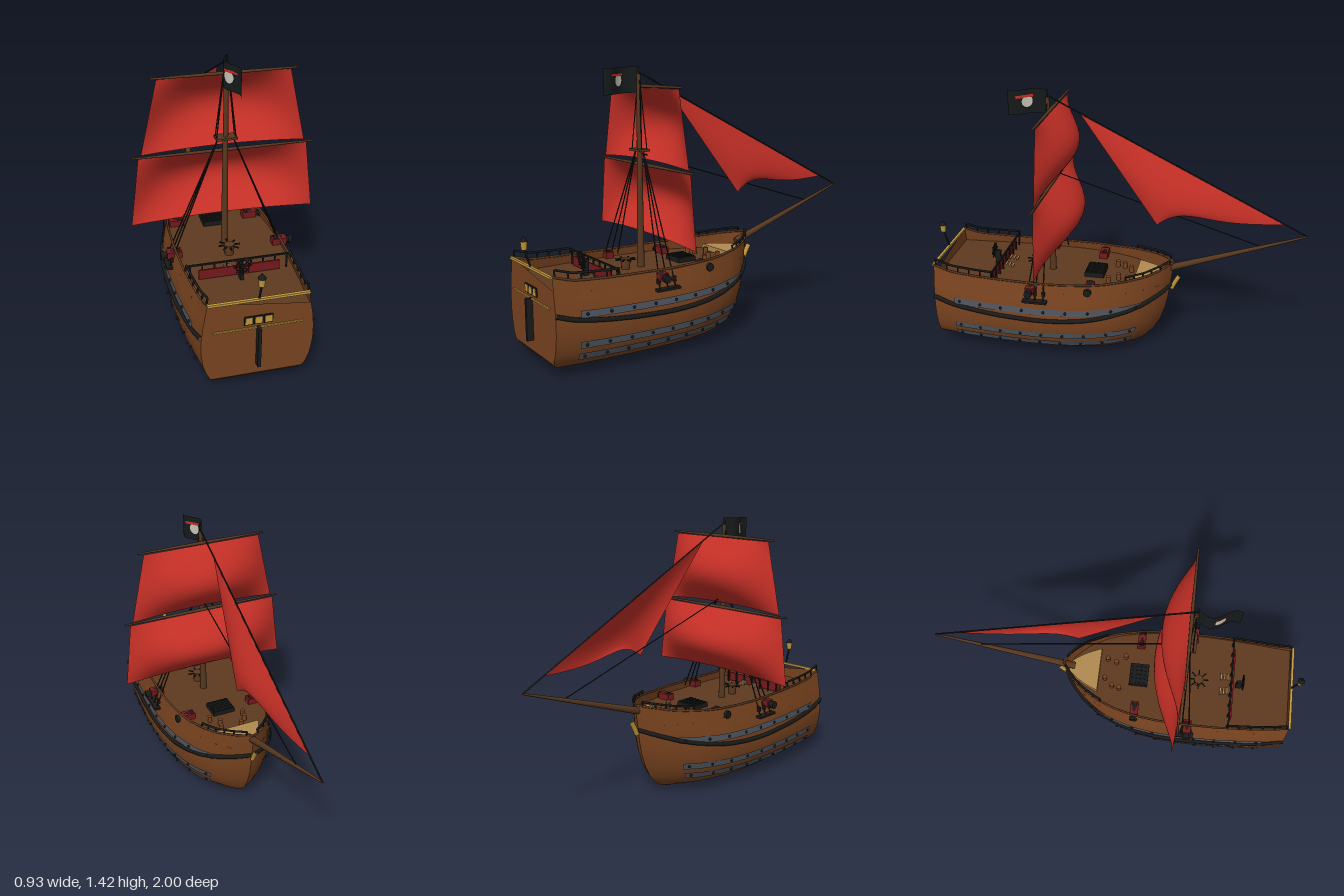
import * as THREE from 'three';

const mat = (name, color, double = false) => {
  const m = new THREE.MeshStandardMaterial({ color });
  m.name = name;
  if (double) m.side = THREE.DoubleSide;
  return m;
};
const V = (x, y, z) => new THREE.Vector3(x, y, z);

// Piecewise linear lookup
function lookup(table, t) {
  for (let i = 1; i < table.length; i++) {
    const [a, p] = table[i - 1], [b, q] = table[i];
    if (t <= b) return p + (q - p) * Math.max(0, (t - a) / (b - a));
  }
  return table[table.length - 1][1];
}

// Surface from a rule fn(u, v) -> Vector3
function grid(fn, nu, nv) {
  const pos = [], idx = [];
  for (let i = 0; i <= nu; i++)
    for (let j = 0; j <= nv; j++) pos.push(...fn(i / nu, j / nv).toArray());
  for (let i = 0; i < nu; i++)
    for (let j = 0; j < nv; j++) {
      const a = i * (nv + 1) + j, b = a + nv + 1;
      idx.push(a, b, a + 1, b, b + 1, a + 1);
    }
  const g = new THREE.BufferGeometry();
  g.setAttribute('position', new THREE.Float32BufferAttribute(pos, 3));
  g.setIndex(idx);
  g.computeVertexNormals();
  return g;
}

// Hull lines: s runs stern (0) to bow (1), f runs keel (0) to sheer (1)
const BEAM = [[0, .265], [.15, .285], [.3, .298], [.45, .302], [.58, .295], [.67, .28], [.76, .25],
  [.83, .215], [.9, .16], [.95, .1], [.98, .05], [1, 0]];
const SHEER = [[0, .49], [.08, .462], [.2, .455], [.5, .45], [.72, .458], [.88, .48], [1, .51]];
const SECTION = [[0, 0], [.03, .4], [.08, .68], [.17, .87], [.3, .96], [.45, 1], [.6, 1], [.75, .97], [.87, .93], [1, .89]];
const STEM = [[0, -.1], [.03, -.14], [.08, -.18], [.17, -.22], [.3, -.255], [.45, -.28], [.6, -.295], [.87, -.313], [1, -.32]];
const STERN = [[0, .84], [.04, .88], [.1, .93], [.15, .95], [1, .95]];
const ROWS = SECTION.map(r => r[0]);
const hullPoint = (s, f, side = 1, out = 0) => {
  const zs = lookup(STERN, f);
  return V(side * (lookup(BEAM, s) * lookup(SECTION, f) + out),
    f * lookup(SHEER, s), zs + (lookup(STEM, f) - zs) * s - out * (s > .8 ? .7 : 0));
};

export function createModel() {
  const ship = new THREE.Group();
  ship.name = 'sailingShip';
  const hullWood = mat('hullWood', 0x79431f, true);
  const deckWood = mat('deckWood', 0x5e3a20, true);
  const sparWood = mat('sparWood', 0x573820);
  const black = mat('blackIron', 0x1b1a1a);
  const steel = mat('steelPlate', 0x4e545e, true);
  const red = mat('sailRed', 0xc42f26, true);
  const maroon = mat('maroon', 0x75191c);
  const gold = mat('gold', 0xc49a3a);
  const tan = mat('paleWood', 0xb08a50);
  const flagBlack = mat('flagBlack', 0x161a1a, true);
  const pale = mat('paleEmblem', 0xc8c4b8, true);

  const add = (name, geo, m, x = 0, y = 0, z = 0) => {
    const o = new THREE.Mesh(geo, m);
    o.name = name;
    o.position.set(x, y, z);
    ship.add(o);
    return o;
  };
  const box = (name, m, w, h, d, x, y, z) => add(name, new THREE.BoxGeometry(w, h, d), m, x, y, z);
  // Tapered round bar between two points
  const bar = (name, m, a, b, r1, r2 = r1, n = 6) => {
    const d = b.clone().sub(a);
    const o = add(name, new THREE.CylinderGeometry(r2, r1, d.length(), n), m);
    o.position.copy(a).addScaledVector(d, .5);
    o.quaternion.setFromUnitVectors(V(0, 1, 0), d.normalize());
    return o;
  };
  const tube = (name, m, pts, r) =>
    add(name, new THREE.TubeGeometry(new THREE.CatmullRomCurve3(pts), pts.length * 3, r, 6), m);
  const steps = (n, fn) => Array.from({ length: n + 1 }, (_, i) => fn(i / n));

  // Hull shell, transom and deck
  const nr = ROWS.length - 1;
  const rowAt = v => { const i = Math.min(nr - 1, Math.floor(v * nr + 1e-6)); return ROWS[i] + (ROWS[i + 1] - ROWS[i]) * (v * nr - i); };
  for (const side of [-1, 1])
    add('hullSide', grid((u, v) => hullPoint(u, rowAt(v), side), 44, nr * 2), hullWood);
  add('transomUnderside', grid((u, v) => hullPoint(0, v * .15, 2 * u - 1 < 0 ? -1 : 1).setX((2 * u - 1) * hullPoint(0, v * .15).x), 8, 10), hullWood);
  add('transom', grid((u, v) => { const p = hullPoint(0, .15 + v * .72); return p.setX(p.x * (2 * u - 1)); }, 2, 12), hullWood);
  const a = hullPoint(0, .87, -1), b = hullPoint(0, .87, 1), c = hullPoint(0, 1, -1);
  add('transomTop', grid((u, v) => a.clone().lerp(b, u).lerp(c, v), 1, 1), hullWood);
  add('deck', grid((u, v) => { const p = hullPoint(u, .405 / lookup(SHEER, u)); return p.setX(p.x * (2 * v - 1)); }, 40, 2), deckWood);

  // Pale platform in the bow
  const bow = new THREE.Shape();
  bow.moveTo(-.125, .12);
  bow.lineTo(.125, .12);
  bow.quadraticCurveTo(.08, .24, .02, .29);
  bow.lineTo(-.02, .29);
  bow.quadraticCurveTo(-.08, .24, -.125, .12);
  add('bowPlatform', new THREE.ExtrudeGeometry(bow, { depth: .03, bevelEnabled: false }), tan, 0, .41, 0).rotation.x = -Math.PI / 2;

  for (const side of [-1, 1]) {
    // Wale, cap rail and steel plating with rivets
    tube('wale', black, steps(30, s => hullPoint(s, .55 + (s < .5 ? .09 : .18) * (2 * s - 1) ** 2, side, .003)), .012);
    tube('capRail', deckWood, steps(30, s => hullPoint(s, 1, side)), .006);
    for (const f of [.665, .345, .215]) {
      add('steelStrip', grid((u, v) => hullPoint(.095 + u * .8, f + (v - .5) * .075, side, .007), 30, 3), steel);
      for (let i = 0; i < 9; i++)
        add('rivet', new THREE.SphereGeometry(.008, 6, 4), black).position.copy(hullPoint(.12 + i * .094, f, side, .008));
    }
    // Stern and bow railings
    for (const [s0, s1, n, h] of [[.01, .26, 5, .034], [.82, .985, 5, .022]]) {
      const foot = t => hullPoint(s0 + (s1 - s0) * t, 1, side);
      const top = t => foot(t).add(V(-side * .005, h, 0));
      tube('railTop', black, steps(8, top), .006);
      for (let i = 0; i <= n; i++) bar('railPost', black, foot(i / n), top(i / n), .005);
    }
    // Cannons
    for (const [z, x] of [[.1, .2], [.4, .272]]) {
      box('cannonCarriage', maroon, .075, .035, .045, side * x, .422, z);
      bar('cannonBarrel', black, V(side * (x - .03), .428, z), V(side * (x + .065), .418, z), .02, .015, 10);
      bar('cannonMuzzle', black, V(side * (x + .05), .418, z), V(side * (x + .068), .418, z), .021, .021, 10);
    }
    // Shrouds and their platform
    box('shroudPlatform', black, .035, .012, .13, side * .3, .36, .375);
    for (const z of [.33, .375, .42]) {
      bar('shroud', black, V(side * .3, .36, z), V(side * .035, 1.005, .35), .0035);
      box('deadeye', black, .014, .025, .016, side * .287, .4, z);
    }
    for (const z of [.335, .365]) bar('topShroud', black, V(side * .048, 1.005, z), V(side * .01, 1.35, .35), .003);
    // Steps to the after deck
    for (let i = 0; i < 3; i++) box('step', tan, .04, .008, .01, side * .043, .425 + i * .004, .568 + i * .018);
  }

  // Stern fittings
  box('rudder', black, .016, .21, .035, 0, .235, .966);
  box('sternRail', gold, .475, .012, .014, 0, .486, .952);
  box('sternTrim', gold, .42, .007, .01, 0, .335, .952);
  for (const x of [-.046, 0, .046]) {
    box('windowFrame', black, .042, .044, .008, x, .377, .952);
    box('windowPane', gold, .032, .034, .006, x, .377, .955);
  }
  bar('lanternPole', black, V(0, .485, .95), V(0, .575, .978), .005);
  bar('lantern', gold, V(0, .575, .98), V(0, .615, .98), .014, .018, 8);
  bar('lanternCap', black, V(0, .615, .98), V(0, .637, .98), .02, .004, 8);

  // After deck rail, cloth and steering wheel
  box('crossRail', black, .5, .008, .008, 0, .482, .62);
  for (let i = -4; i <= 4; i++) box('crossRailPost', black, .007, .075, .007, i * .06, .443, .62);
  box('railCloth', maroon, .4, .05, .008, 0, .435, .632);
  box('wheelStand', black, .018, .085, .03, 0, .445, .665);
  add('wheelRim', new THREE.TorusGeometry(.032, .004, 6, 20), black, 0, .485, .685);
  for (let i = 0; i < 4; i++) box('wheelSpoke', black, .09, .005, .005, 0, .485, .685).rotation.z = i * Math.PI / 4;

  // Capstan, hatch and casks on the main deck
  bar('capstan', deckWood, V(0, .405, .44), V(0, .46, .44), .022, .026, 10);
  for (let i = 0; i < 4; i++) box('capstanBar', black, .11, .006, .006, 0, .455, .44).rotation.y = i * Math.PI / 4;
  box('hatch', black, .125, .025, .105, 0, .418, .105);
  for (let i = -2; i <= 2; i++) {
    box('hatchGrating', flagBlack, .006, .006, .1, i * .024, .432, .105);
    box('hatchGrating', flagBlack, .12, .006, .006, 0, .432, .105 + i * .02);
  }
  for (const [x, z] of [[-.04, -.085], [-.08, -.04], [.06, -.03], [-.09, .0], [.1, .02], [.075, -.08]])
    bar('cask', hullWood, V(x, .405, z), V(x, .44, z), .013, .013, 8);

  // Mast, crosstrees, yards, bowsprit and figurehead
  bar('mast', sparWood, V(0, .4, .35), V(0, 1.38, .35), .019, .01, 12);
  bar('flagPole', black, V(0, 1.3, .352), V(0, 1.418, .352), .006);
  box('crosstrees', sparWood, .105, .012, .06, 0, 1.005, .35);
  for (const [y, w] of [[1.322, .355], [.93, .452]]) {
    bar('yard', sparWood, V(0, y, .33), V(w, y, .33), .009, .005, 8);
    bar('yard', sparWood, V(0, y, .33), V(-w, y, .33), .009, .005, 8);
  }
  bar('bowsprit', sparWood, V(0, .46, -.26), V(0, .72, -1), .02, .005, 10);
  tube('figurehead', gold, [V(0, .35, -.312), V(0, .385, -.328), V(0, .43, -.352)], .013);

  // Square sails, bellied towards the bow
  for (const [y0, y1, w0, w1, belly] of [[1.314, .94, .325, .408, .125], [.923, .565, .422, .466, .145]])
    add('squareSail', grid((u, v) => {
      const x = 2 * u - 1;
      return V(x * (w0 + (w1 - w0) * v), y0 + (y1 - y0) * v + .018 * v * (1 - x * x),
        .325 - belly * Math.sin(Math.PI * v) * (1 - x * x));
    }, 24, 16), red);

  // Stays and jib
  bar('forestay', black, V(0, 1.39, .35), V(0, .72, -1), .004);
  bar('lowerStay', black, V(0, .99, .35), V(0, .64, -.78), .003);
  const tack = V(0, .777, -.88), head = V(0, 1.302, .18), clew = V(.055, .745, -.23);
  add('jib', grid((u, w) => {
    const p = tack.clone().lerp(head, u).lerp(clew, w);
    p.y += .05 * Math.sin(Math.PI * w ** 3) * (1 - u) ** 2;
    p.x += .035 * Math.sin(Math.PI * w) * Math.sin(Math.PI * u);
    return p;
  }, 20, 20), red);

  // Waving flag with a plain pale disc and red band on each face
  const flagAt = (u, y, off = 0) => V(-.03 * Math.sin(u * 5.2) + .012 * u * (1 - u) - .012 * u + off, y - .01 * u, .355 + .2 * u);
  add('flag', grid((u, v) => flagAt(u, 1.29 + .128 * v), 16, 4), flagBlack);
  for (const off of [-.004, .004]) {
    add('flagDisc', grid((r, t) => flagAt(.52 + r * .125 * Math.cos(t * 2 * Math.PI), 1.355 + r * .03 * Math.sin(t * 2 * Math.PI), off), 3, 20), pale);
    add('flagBand', grid((u, v) => flagAt(.38 + u * .4, 1.376 + v * .014, off * 1.4), 6, 1), red);
  }
  return ship;
}
